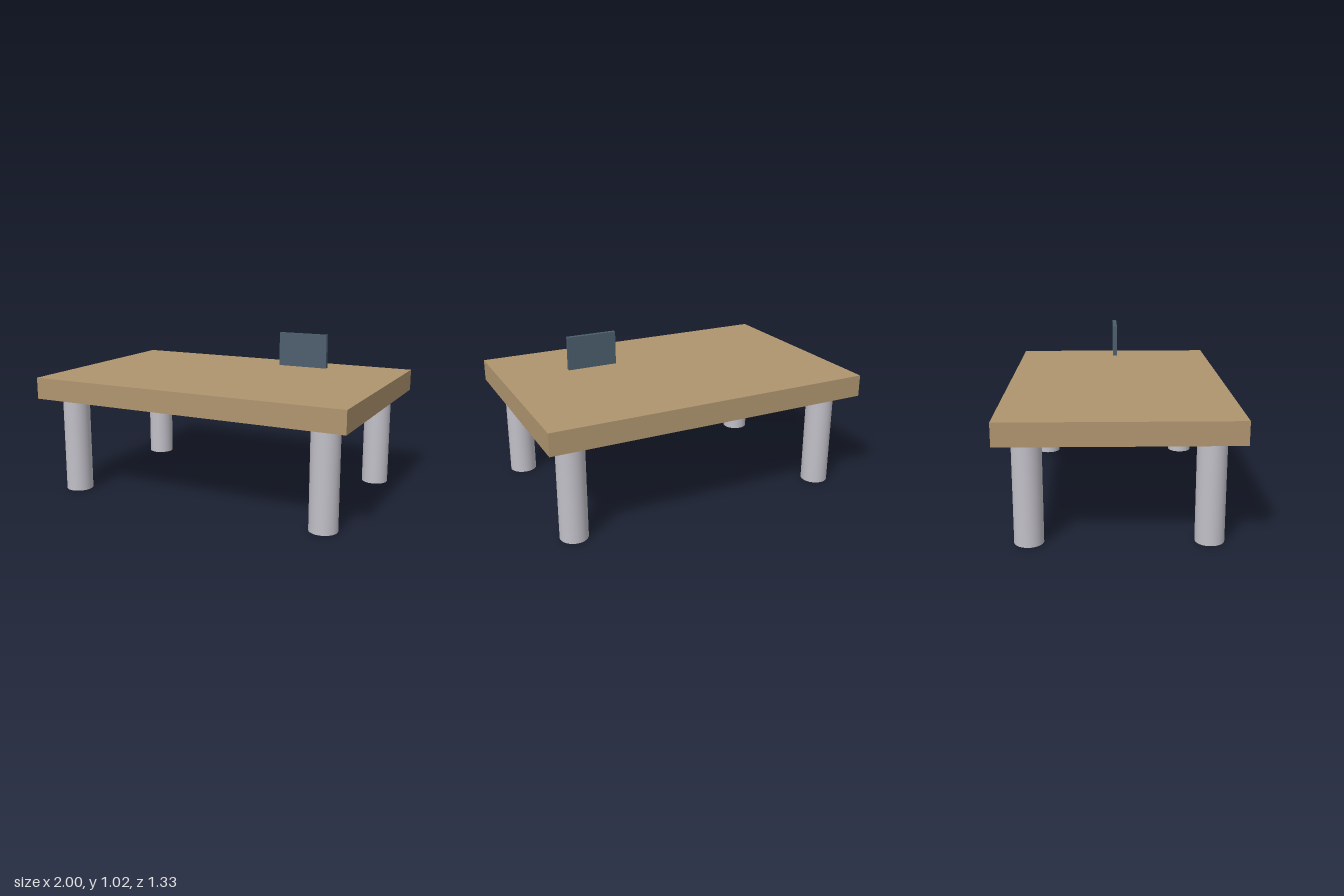
import * as THREE from 'three';

const LEG_HEIGHT = 0.6;
const TOP_THICKNESS = 0.133;

export function createModel() {
  const model = new THREE.Group();
  model.name = 'table';

  const wood = new THREE.MeshStandardMaterial({ color: 0xb0956f });
  const metal = new THREE.MeshStandardMaterial({ color: 0xc2c0c8 });
  const slate = new THREE.MeshStandardMaterial({ color: 0x4a5d6b });

  const add = (name, geometry, material, x, y, z) => {
    const mesh = new THREE.Mesh(geometry, material);
    mesh.name = name;
    mesh.position.set(x, y, z);
    model.add(mesh);
  };

  // Table top
  add('tableTop', new THREE.BoxGeometry(2, TOP_THICKNESS, 1.333), wood,
    0, LEG_HEIGHT + TOP_THICKNESS / 2, 0);

  // Four round legs, one near each corner
  const legGeometry = new THREE.CylinderGeometry(0.083, 0.083, LEG_HEIGHT, 32);
  for (const [side, x] of [['Left', 0.833], ['Right', -0.833]]) {
    for (const [end, z] of [['front', 0.5], ['back', -0.5]]) {
      add(`${end}${side}Leg`, legGeometry, metal, x, LEG_HEIGHT / 2, z);
    }
  }

  // Thin upright panel floating above the top
  add('panel', new THREE.BoxGeometry(0.3, 0.2, 0.026), slate, 0.5, 0.917, 0);

  return model;
}
